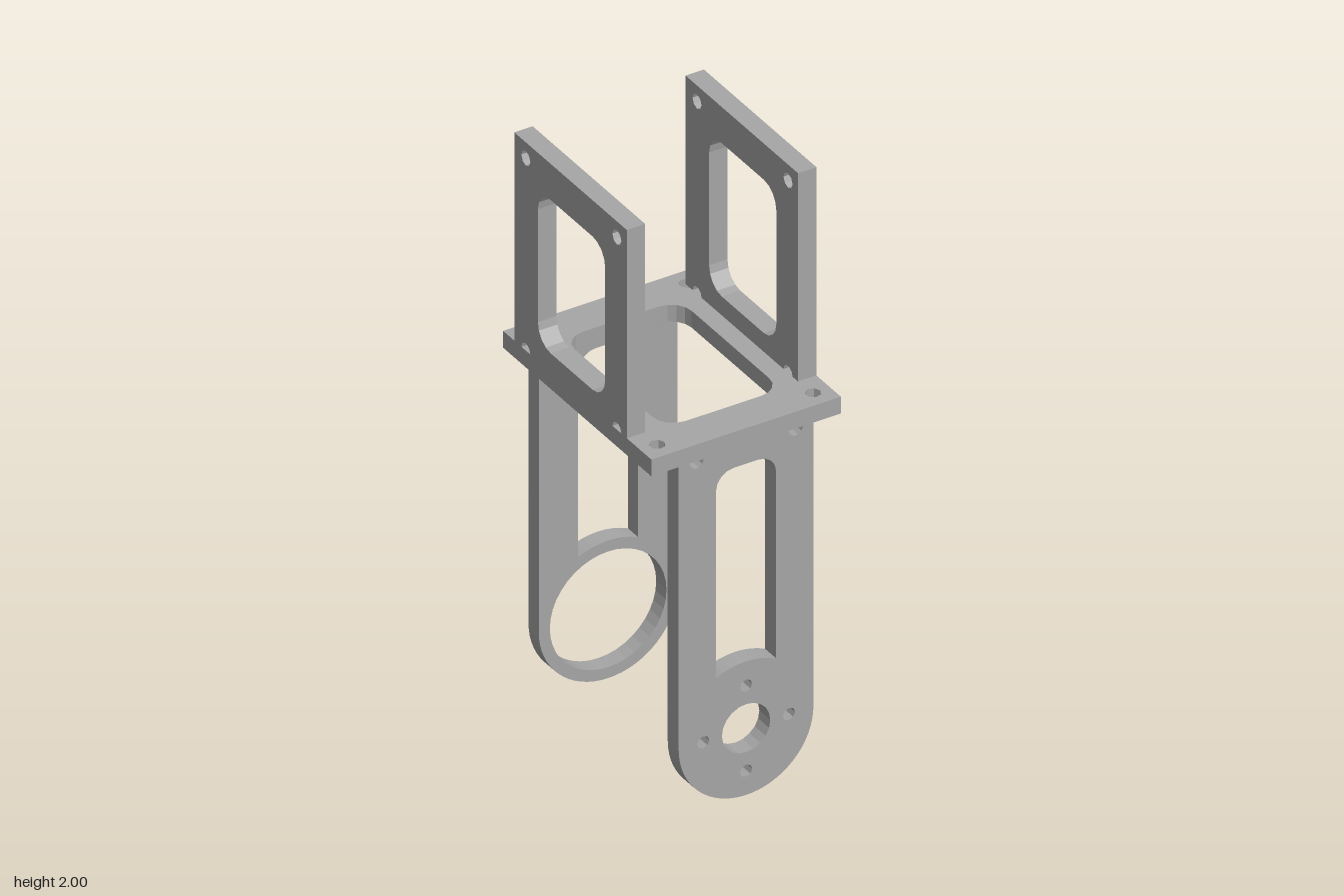
import * as THREE from 'three';

const grey = new THREE.MeshStandardMaterial({ color: 0xa6a6a6 });
grey.name = 'grey';

// round hole with a chosen number of sides
function circle(x, y, r, sides) {
  const pts = [];
  for (let i = 0; i < sides; i++) {
    const a = (i / sides) * Math.PI * 2;
    pts.push(new THREE.Vector2(x + r * Math.cos(a), y + r * Math.sin(a)));
  }
  return new THREE.Path(pts);
}

// points of an arc from angle a to angle b
function arc(x, y, r, a, b, n) {
  return Array.from({ length: n + 1 }, (_, i) => {
    const t = a + ((b - a) * i) / n;
    return new THREE.Vector2(x + r * Math.cos(t), y + r * Math.sin(t));
  });
}

// rectangular opening with faceted round corners
function roundedWindow(x0, x1, y0, y1, r) {
  const h = Math.PI / 2;
  return new THREE.Path([
    ...arc(x1 - r, y1 - r, r, 0, h, 4),
    ...arc(x0 + r, y1 - r, r, h, 2 * h, 4),
    ...arc(x0 + r, y0 + r, r, 2 * h, 3 * h, 4),
    ...arc(x1 - r, y0 + r, r, 3 * h, 4 * h, 4),
  ]);
}

function panel(name, points, holes, depth) {
  const shape = new THREE.Shape(points);
  shape.holes.push(...holes);
  const geometry = new THREE.ExtrudeGeometry(shape, { depth, bevelEnabled: false });
  const mesh = new THREE.Mesh(geometry, grey);
  mesh.name = name;
  return mesh;
}

const v = (x, y) => new THREE.Vector2(x, y);
const PLATE_BOTTOM = 1.222, PLATE_TOP = 1.28;

// horizontal plate with central opening and four corner holes
function basePlate() {
  const holes = [roundedWindow(-0.2, 0.2, -0.285, 0.285, 0.07)];
  for (const x of [-0.267, 0.267]) for (const y of [-0.35, 0.35]) holes.push(circle(x, y, 0.025, 7));
  const mesh = panel('basePlate',
    [v(-0.325, -0.411), v(0.325, -0.411), v(0.325, 0.411), v(-0.325, 0.411)],
    holes, PLATE_TOP - PLATE_BOTTOM);
  mesh.rotation.x = -Math.PI / 2;
  mesh.position.y = PLATE_BOTTOM;
  return mesh;
}

// upright side panel; shape x runs along -z
function sidePanel(name, x) {
  const points = [
    v(-0.275, PLATE_TOP),
    ...arc(-0.22, PLATE_TOP, 0.025, Math.PI, 0, 5),
    ...arc(0.285, PLATE_TOP, 0.025, Math.PI, 0, 5),
    v(0.349, PLATE_TOP), v(0.349, 2), v(-0.275, 2),
  ];
  const holes = [
    roundedWindow(-0.155, 0.218, 1.345, 1.875, 0.07),
    circle(-0.22, 1.945, 0.025, 8),
    circle(0.285, 1.945, 0.025, 8),
  ];
  const mesh = panel(name, points, holes, 0.063);
  mesh.rotation.y = Math.PI / 2;
  mesh.position.x = x;
  return mesh;
}

// hanging leg with rounded foot, slot and foot holes
function leg(name, z, depth, r, cy, footHoles) {
  const points = [
    ...arc(0, cy, r, Math.PI, 2 * Math.PI, 32),
    v(r, PLATE_BOTTOM),
    ...arc(0.17, PLATE_BOTTOM, 0.025, 0, -Math.PI, 5),
    ...arc(-0.17, PLATE_BOTTOM, 0.025, 0, -Math.PI, 5),
    v(-r, PLATE_BOTTOM),
  ];
  const half = Math.acos(0.103 / r);
  const slot = new THREE.Path([
    ...arc(0, cy, r, Math.PI - half, half, 8),
    ...arc(0.043, 1.097, 0.06, 0, Math.PI / 2, 4),
    ...arc(-0.043, 1.097, 0.06, Math.PI / 2, Math.PI, 4),
  ]);
  const mesh = panel(name, points, [slot, ...footHoles], depth);
  mesh.position.z = z;
  return mesh;
}

export function createModel() {
  const model = new THREE.Group();
  model.name = 'bracket';
  model.add(basePlate());
  model.add(sidePanel('leftPanel', 0.262), sidePanel('rightPanel', -0.325));

  // front leg carries a shaft hole ringed by four screw holes
  const cy = 0.243;
  const mount = [circle(0, cy, 0.083, 20)];
  for (let i = 0; i < 4; i++) {
    const a = (i * Math.PI) / 2;
    mount.push(circle(0.147 * Math.cos(a), cy + 0.147 * Math.sin(a), 0.021, 8));
  }
  model.add(leg('frontLeg', 0.35, 0.061, 0.231, cy, mount));

  // back leg ends in a wide ring
  model.add(leg('backLeg', -0.411, 0.057, 0.238, 0.24, [circle(0, 0.24, 0.2, 40)]));
  return model;
}
